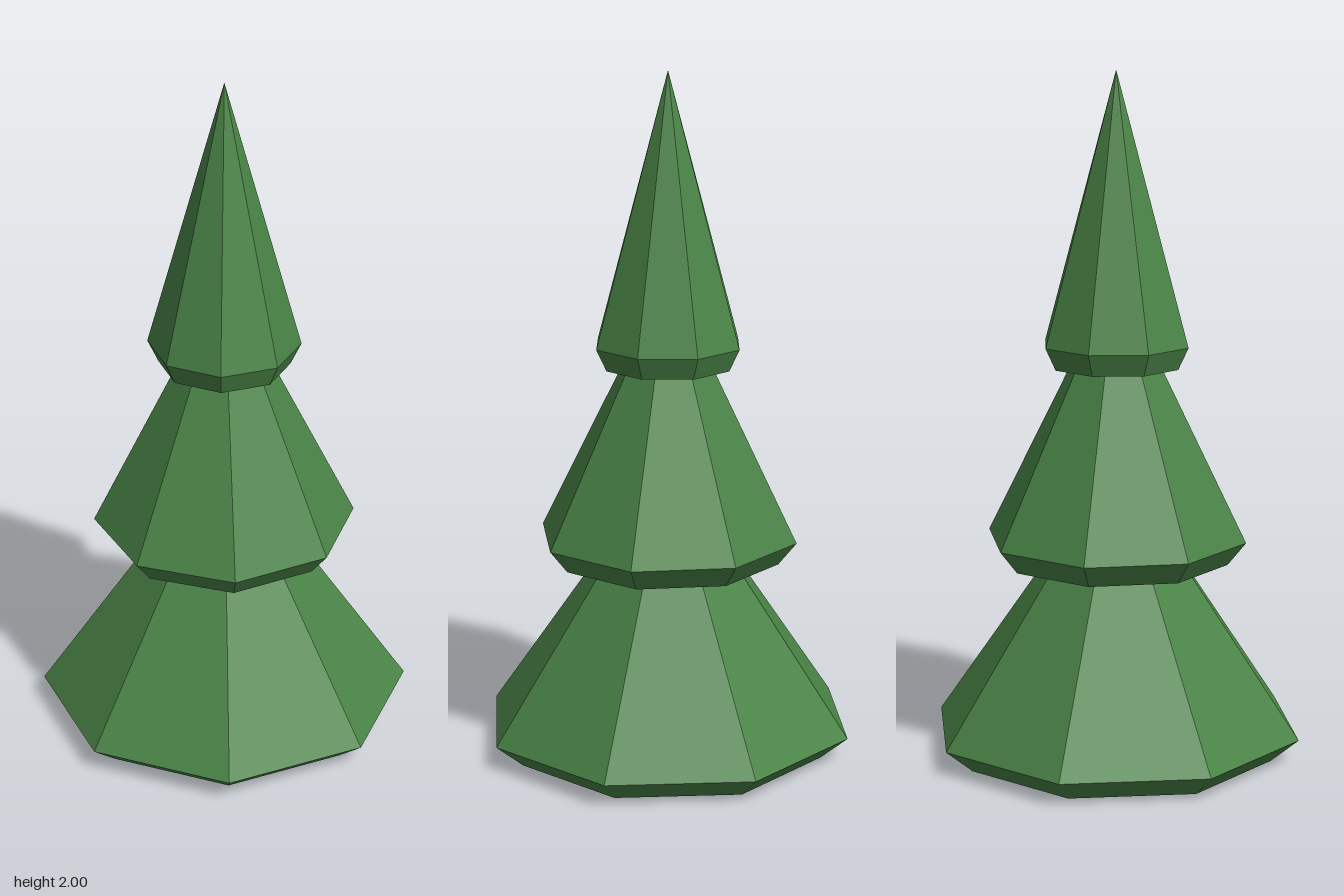
import * as THREE from 'three';

const SIDES = 8;

export function createModel() {
  const tree = new THREE.Group();
  tree.name = 'pineTree';

  const foliage = new THREE.MeshStandardMaterial({ color: 0x4a8447, flatShading: true });
  foliage.name = 'foliageGreen';

  // One tier: flat underside, narrow bevelled skirt, then a cone to its tip
  function addTier(name, { base, rim, baseRadius, rimRadius, tip, twist }) {
    const profile = [
      [0, base], [baseRadius, base], [rimRadius, rim], [0, tip],
    ].map(([r, y]) => new THREE.Vector2(r, y));
    const tier = new THREE.Mesh(new THREE.LatheGeometry(profile, SIDES), foliage);
    tier.name = name;
    tier.rotation.y = twist;
    tree.add(tier);
  }

  // Upper tips of the lower tiers are tucked inside the tier above
  addTier('lowerTier', { base: 0, rim: 0.07, baseRadius: 0.472, rimRadius: 0.555, tip: 0.87, twist: 0.02 });
  addTier('middleTier', { base: 0.577, rim: 0.645, baseRadius: 0.333, rimRadius: 0.387, tip: 1.42, twist: 0.075 });
  addTier('topTier', { base: 1.15, rim: 1.215, baseRadius: 0.19, rimRadius: 0.221, tip: 2, twist: -0.05 });

  return tree;
}
